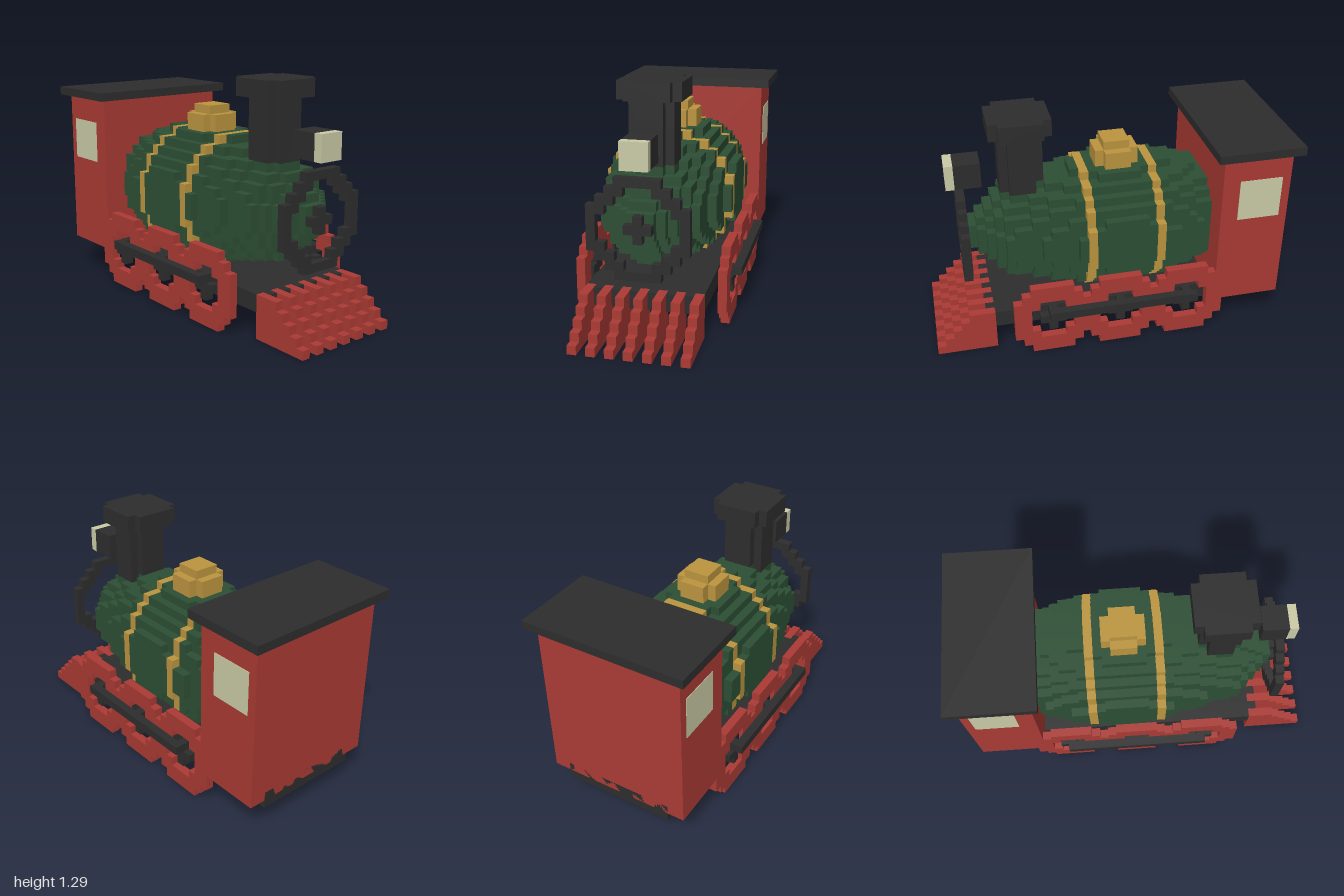
import * as THREE from 'three';

const V = 2 / 42; // edge of one cube; i runs along x from the back, j up, k across from the centre line

const material = (name, color) => {
  const m = new THREE.MeshStandardMaterial({ color });
  m.name = name;
  return m;
};

// Exposed faces of every cube in the ranges that passes the test
function cubes([i0, i1], [j0, j1], [k0, k1], test = () => true) {
  const lo = [i0, j0, k0], hi = [i1, j1, k1];
  const filled = (c) => c.every((n, a) => n >= lo[a] && n <= hi[a]) && test(...c);
  const pos = [];
  for (let i = i0; i <= i1; i++) for (let j = j0; j <= j1; j++) for (let k = k0; k <= k1; k++) {
    const c = [i, j, k];
    if (!filled(c)) continue;
    for (let a = 0; a < 3; a++) for (const s of [1, -1]) {
      const next = [...c];
      next[a] += s;
      if (filled(next)) continue;
      const corner = (u, w) => {
        const p = [...c];
        p[a] += s > 0 ? 1 : 0;
        p[(a + 1) % 3] += u;
        p[(a + 2) % 3] += w;
        return [p[0] * V - 1, p[1] * V, (p[2] - 0.5) * V];
      };
      const q = [corner(0, 0), corner(1, 0), corner(1, 1), corner(0, 1)];
      if (s < 0) q.reverse();
      for (const n of [0, 1, 2, 0, 2, 3]) pos.push(...q[n]);
    }
  }
  const g = new THREE.BufferGeometry();
  g.setAttribute('position', new THREE.Float32BufferAttribute(pos, 3));
  g.computeVertexNormals();
  return g;
}

// One solid block of whole cubes
function block([i0, i1], [j0, j1], [k0, k1]) {
  const g = new THREE.BoxGeometry((i1 - i0 + 1) * V, (j1 - j0 + 1) * V, (k1 - k0 + 1) * V);
  return g.translate((i0 + i1 + 1) / 2 * V - 1, (j0 + j1 + 1) / 2 * V, (k0 + k1) / 2 * V);
}

export function createModel() {
  const group = new THREE.Group();
  const red = material('red paint', 0xaa3a34);
  const green = material('green paint', 0x2c4e34);
  const black = material('black iron', 0x2d2d2d);
  const gold = material('brass', 0xbb943f);
  const cream = material('cream glass', 0xcacaa6);
  const add = (name, geometry, mat) => {
    const mesh = new THREE.Mesh(geometry, mat);
    mesh.name = name;
    group.add(mesh);
  };
  const sq = (a, b) => a * a + b * b;

  // Chassis, notched where the slats slot in
  add('chassis', cubes([1, 35], [3, 4], [-6, 6], (i, j, k) => i < 35 || k % 2 !== 0), black);

  // Cab, roof and side windows
  add('cab', block([1, 8], [4, 22], [-8, 8]), red);
  add('roof', block([0, 9], [23, 23], [-9, 9]), black);
  for (const side of [1, -1]) {
    const pane = new THREE.BoxGeometry(5 * V, 5 * V, 0.006);
    pane.translate(4.5 * V - 1, 17.5 * V, side * 8.5 * V);
    add('cabWindow', pane, cream);
  }

  // Boiler: squared radius of each slice, from the cab to the nose
  const slices = [34, 38, 42, 46, 50.5, 52, 55, 57, 59, 59, 59, 59, 59, 57, 55, 50.5,
    47, 44, 41, 38, 34, 31.5, 29, 26, 18, 10, 5, 2];
  const bands = [15, 23];
  const inBoiler = (i, j, k) => sq(j - 12, k) <= slices[i - 9];
  add('boiler', cubes([9, 36], [5, 19], [-7, 7], (i, j, k) => !bands.includes(i) && inBoiler(i, j, k)), green);
  for (const b of bands) add('boilerBand', cubes([b, b], [5, 19], [-7, 7], inBoiler), gold);

  // Ring and boss in front of the nose
  add('noseRing', cubes([37, 37], [7, 17], [-5, 5], (i, j, k) => {
    const d = sq(j - 12, k);
    return d <= 1 || (d > 17.5 && d < 30);
  }), black);

  // Steam dome
  add('steamDome', cubes([17, 21], [20, 22], [-2, 2], (i, j, k) => sq(i - 19, k) <= (j < 22 ? 5 : 2)), gold);

  // Smokestack with a flared cap
  add('smokestack', cubes([27, 33], [18, 26], [-3, 3], (i, j, k) => sq(i - 30, k) <= (j < 25 ? 5 : 13)), black);

  // Headlamp
  add('headlamp', block([35, 37], [19, 21], [-1, 1]), black);
  add('headlampGlass', block([38, 38], [19, 21], [-1, 1]), cream);

  // Wheels, hubs and coupling rods
  const centres = [12, 20, 28];
  for (const side of [1, -1]) {
    const k = 8 * side;
    add('wheels', cubes([8, 32], [0, 8], [k, k], (i, j) => {
      const d = centres.map((c) => sq(i - c, j - 4));
      return d.some((n) => n > 5.5 && n < 21) && d.every((n) => n > 5.5);
    }), red);
    for (const c of centres) {
      add('wheelHub', cubes([c - 1, c + 1], [3, 5], [k, k], (i, j) => sq(i - c, j - 4) <= 1), black);
    }
    add('couplingRod', block([12, 28], [5, 5], [9 * side, 9 * side]), black);
  }

  // Stepped slats of the track guard
  for (let k = -6; k <= 6; k += 2) {
    add('guardSlat', cubes([35, 41], [0, 4], [k, k], (i, j) => j < Math.min(5, 42 - i)), red);
  }
  return group;
}
